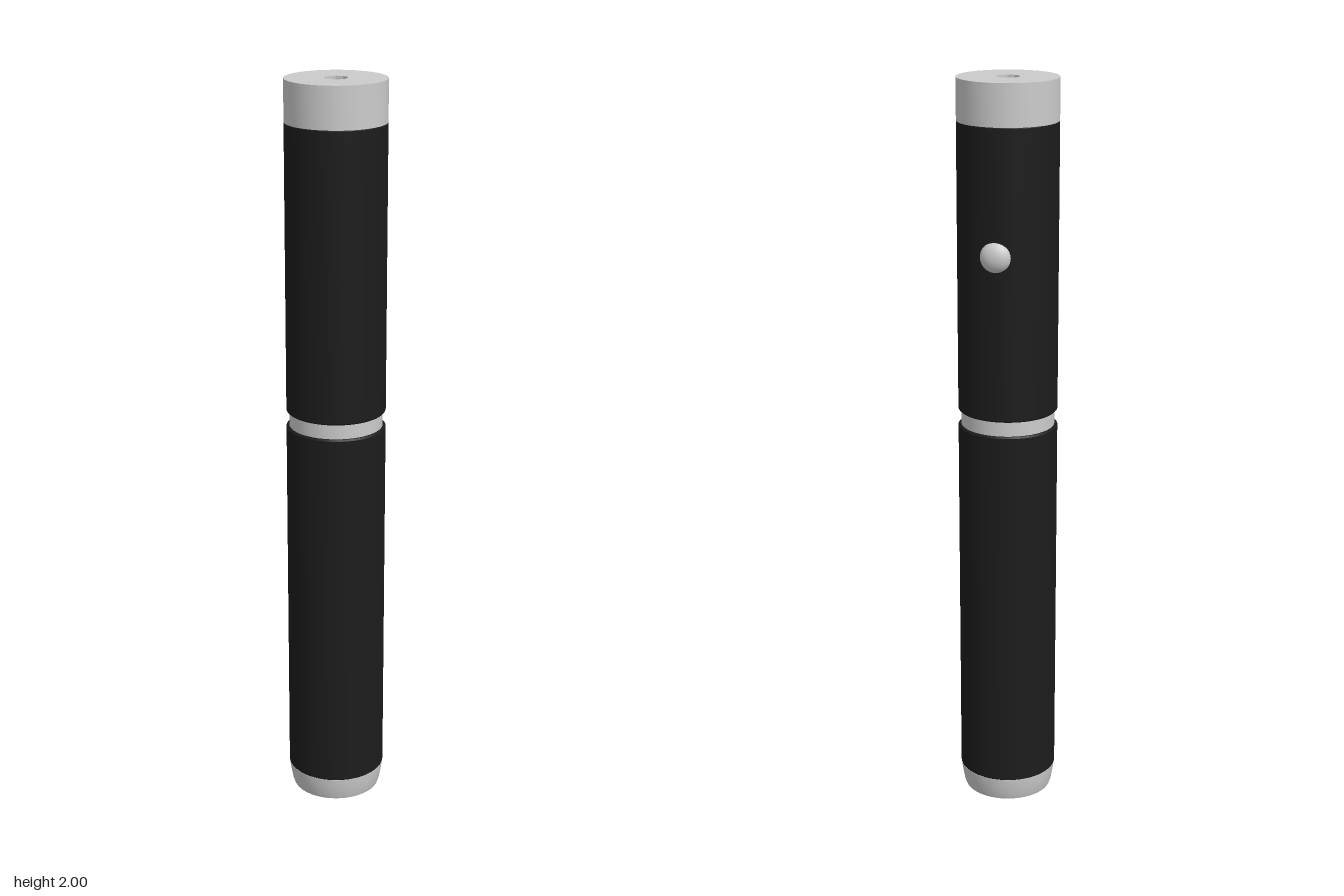
import * as THREE from 'three';
import { toCreasedNormals } from 'three/addons/utils/BufferGeometryUtils.js';

const R = 0.133;
const AXIS_Z = 0.008;

export function createModel() {
  const model = new THREE.Group();
  model.name = 'laserPointer';
  const metal = new THREE.MeshStandardMaterial({ color: 0xcccccc });
  const black = new THREE.MeshStandardMaterial({ color: 0x1c1c1c });

  // Turned part: [radius, height] pairs listed from bottom to top
  function turned(name, profile, material) {
    const points = profile.map(([r, y]) => new THREE.Vector2(r, y));
    const geometry = toCreasedNormals(new THREE.LatheGeometry(points, 64), 0.5);
    const mesh = new THREE.Mesh(geometry, material);
    mesh.name = name;
    mesh.position.z = AXIS_Z;
    model.add(mesh);
  }

  // Black barrel half with slightly eased ends
  function barrel(name, y0, y1) {
    const e = 0.004;
    turned(name, [[0, y0], [R - e, y0], [R, y0 + e], [R, y1 - e], [R - e, y1], [0, y1]], black);
  }

  // Tapered end cap
  turned('endCap', [[0, 0], [0.12, 0], [0.124, 0.012], [0.13, 0.045], [0.132, 0.065], [0, 0.065]], metal);

  barrel('lowerBarrel', 0.063, 1.08);
  turned('jointRing', [[0, 1.075], [0.125, 1.075], [0.125, 1.125], [0, 1.125]], metal);
  barrel('upperBarrel', 1.12, 1.892);

  // Nose with the beam opening sunk into its end
  turned('nose', [[0, 1.89], [R, 1.89], [R, 2], [0.03, 2], [0.03, 1.93], [0, 1.93]], metal);

  // Domed push button on the back
  const button = new THREE.Mesh(new THREE.SphereGeometry(1, 32, 20), metal);
  button.name = 'button';
  button.scale.set(0.041, 0.041, 0.028);
  button.position.set(0, 1.56, -0.116);
  model.add(button);

  return model;
}
